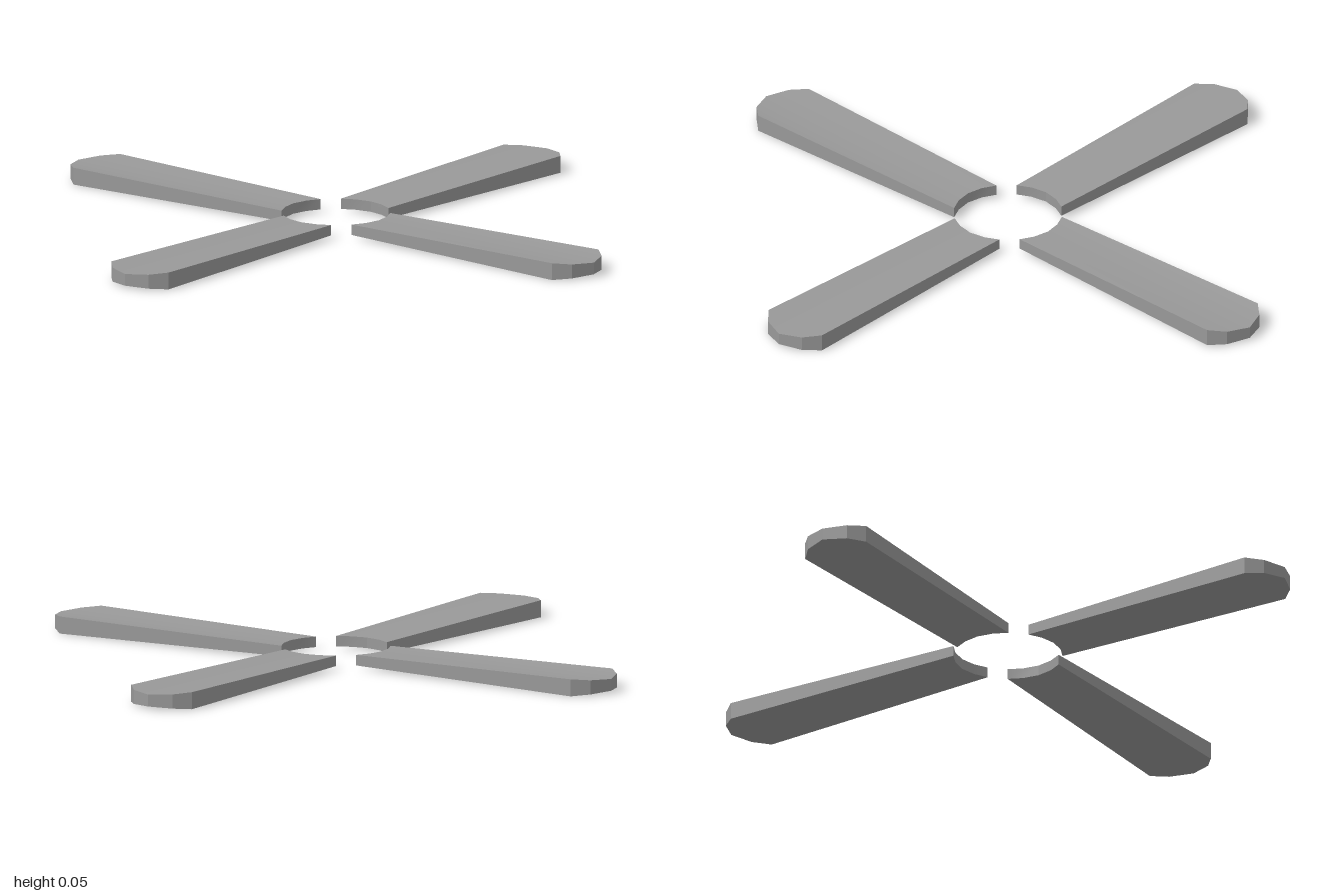
import * as THREE from 'three';
import { toCreasedNormals } from 'three/addons/utils/BufferGeometryUtils.js';

const MID_Y = 0.026;

// Lengthwise ribs across the blade: [x, z, half thickness] at root and at tip
const half = [
  { root: [0.165, 0, 0.016], tip: [0.998, 0, 0.018] },
  { root: [0.156, 0.05, 0.016], tip: [0.971, 0.07, 0.0215] },
  { root: [0.135, 0.092, 0.016], tip: [0.926, 0.11, 0.026] },
];

function bladeGeometry() {
  const mirror = ([x, z, h]) => [x, -z, h];
  const ribs = [
    ...half.slice(1).reverse().map((r) => ({ root: mirror(r.root), tip: mirror(r.tip) })),
    ...half,
  ];
  // Four corners per rib: root top, tip top, tip bottom, root bottom
  const positions = [];
  for (const { root, tip } of ribs) {
    for (const [p, s] of [[root, 1], [tip, 1], [tip, -1], [root, -1]]) {
      positions.push(p[0], MID_Y + s * p[2], p[1]);
    }
  }
  const index = [];
  const quad = (a, b, c, d) => index.push(a, b, c, a, c, d);
  // Top, tip, bottom and root strips between neighbouring ribs
  for (let i = 0; i < ribs.length - 1; i++) {
    for (let k = 0; k < 4; k++) {
      const n = (k + 1) % 4;
      quad(i * 4 + k, (i + 1) * 4 + k, (i + 1) * 4 + n, i * 4 + n);
    }
  }
  // Long side walls
  const last = (ribs.length - 1) * 4;
  quad(0, 1, 2, 3);
  quad(last + 3, last + 2, last + 1, last);

  const geometry = new THREE.BufferGeometry();
  geometry.setAttribute('position', new THREE.Float32BufferAttribute(positions, 3));
  geometry.setIndex(index);
  return toCreasedNormals(geometry, THREE.MathUtils.degToRad(20));
}

export function createModel() {
  const group = new THREE.Group();
  group.name = 'fanBlades';
  const material = new THREE.MeshStandardMaterial({ color: 0x999999 });
  const geometry = bladeGeometry();

  // Four blades around an open hub
  ['leftBlade', 'backBlade', 'rightBlade', 'frontBlade'].forEach((name, i) => {
    const blade = new THREE.Mesh(geometry, material);
    blade.name = name;
    blade.rotation.y = (i * Math.PI) / 2;
    group.add(blade);
  });
  return group;
}
